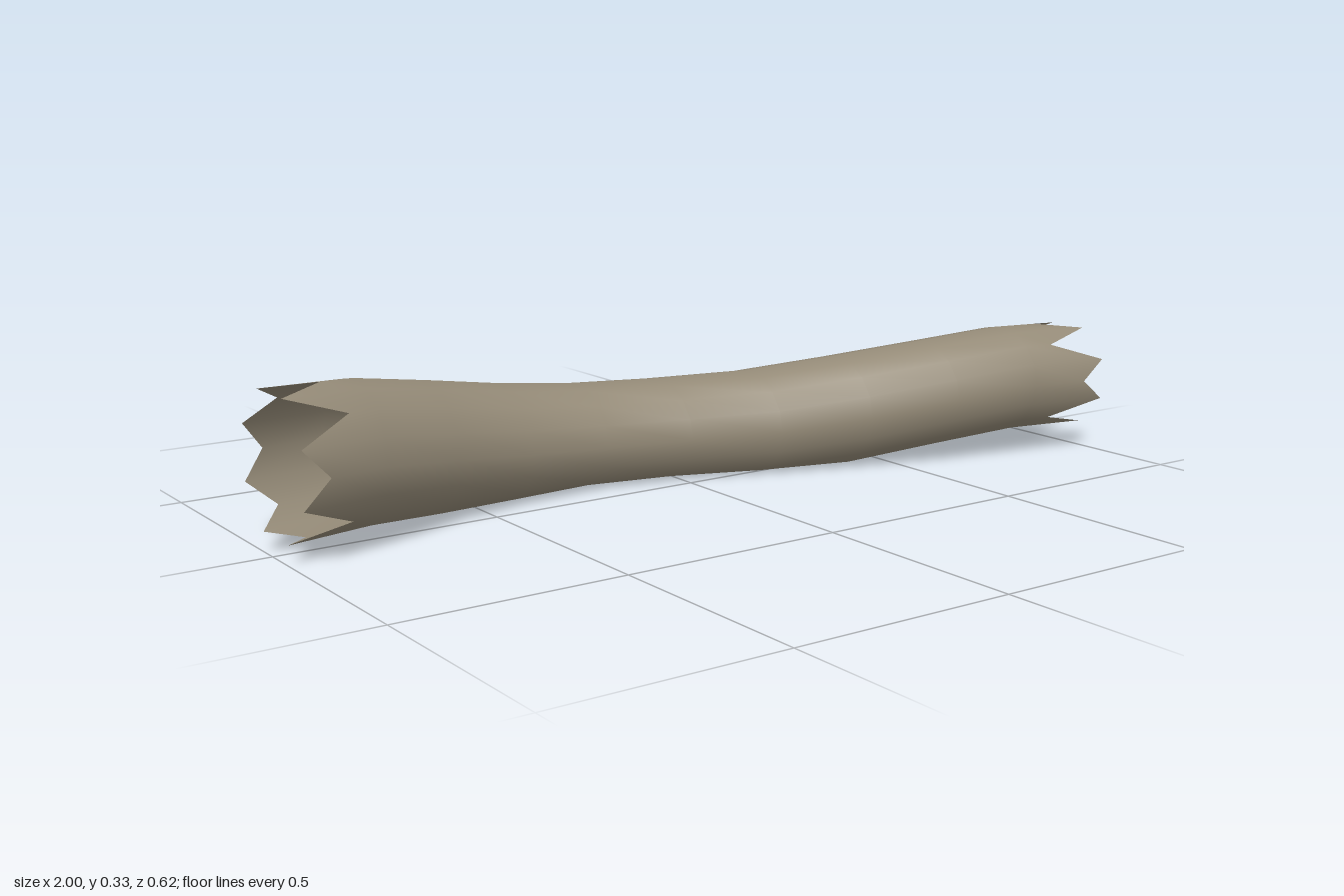
import * as THREE from 'three';

const SIDES = 16;

// Cross-sections every 0.2 along x: [top, bottom, back z, front z]
const SECTIONS = [
  [0.34, 0.03, -0.135, 0.175],
  [0.327, 0.025, -0.19, 0.12],
  [0.287, 0.0, -0.265, 0.035],
  [0.25, -0.015, -0.308, -0.012],
  [0.225, -0.02, -0.312, -0.03],
  [0.22, -0.02, -0.27, 0.01],
  [0.228, -0.02, -0.19, 0.08],
  [0.253, -0.002, -0.11, 0.16],
  [0.28, 0.03, -0.03, 0.235],
  [0.302, 0.052, 0.03, 0.285],
  [0.3, 0.05, 0.065, 0.315],
];

// Depth of the eight notches between the splinters of each broken end
const RIGHT_NOTCHES = [0.06, 0.13, 0.1, 0.07, 0.06, 0.06, 0.07, 0.13];
const LEFT_NOTCHES = [0.06, 0.13, 0.12, 0.07, 0.05, 0.06, 0.07, 0.13];

// Point on the log surface at x and angle a, flattened where it rests on the ground
function surfacePoint(x, a) {
  const t = (x + 1) / 0.2;
  const i = Math.min(Math.floor(t), SECTIONS.length - 2);
  const [top, bottom, back, front] = SECTIONS[i].map((v, k) =>
    THREE.MathUtils.lerp(v, SECTIONS[i + 1][k], t - i));
  const y = (top + bottom) / 2 + Math.sin(a) * (top - bottom) / 2;
  const z = (front + back) / 2 + Math.cos(a) * (front - back) / 2;
  return [x, Math.max(y, 0), z];
}

function hollowLogGeometry() {
  const positions = [];
  const indices = [];
  const last = SECTIONS.length - 1;
  for (let i = 0; i <= last; i++) {
    for (let j = 0; j < SIDES; j++) {
      let x = -1 + i * 0.2;
      // Even vertices of the end rings are notches, odd ones are splinter tips
      if (j % 2 === 0 && i === 0) x += LEFT_NOTCHES[j / 2];
      if (j % 2 === 0 && i === last) x -= RIGHT_NOTCHES[j / 2];
      x = THREE.MathUtils.clamp(x, -1, 1);
      positions.push(...surfacePoint(x, (j / SIDES) * Math.PI * 2));
      if (i === last) continue;
      const a = i * SIDES + j;
      const b = i * SIDES + ((j + 1) % SIDES);
      indices.push(a, a + SIDES, b, b, a + SIDES, b + SIDES);
    }
  }
  const geometry = new THREE.BufferGeometry();
  geometry.setAttribute('position', new THREE.Float32BufferAttribute(positions, 3));
  geometry.setIndex(indices);
  geometry.computeVertexNormals();
  return geometry;
}

export function createModel() {
  const wood = new THREE.MeshStandardMaterial({ color: 0x958b78, side: THREE.DoubleSide });
  wood.name = 'weathered wood';

  const group = new THREE.Group();
  group.name = 'hollowLog';
  const bark = new THREE.Mesh(hollowLogGeometry(), wood);
  bark.name = 'bark';
  group.add(bark);
  return group;
}
